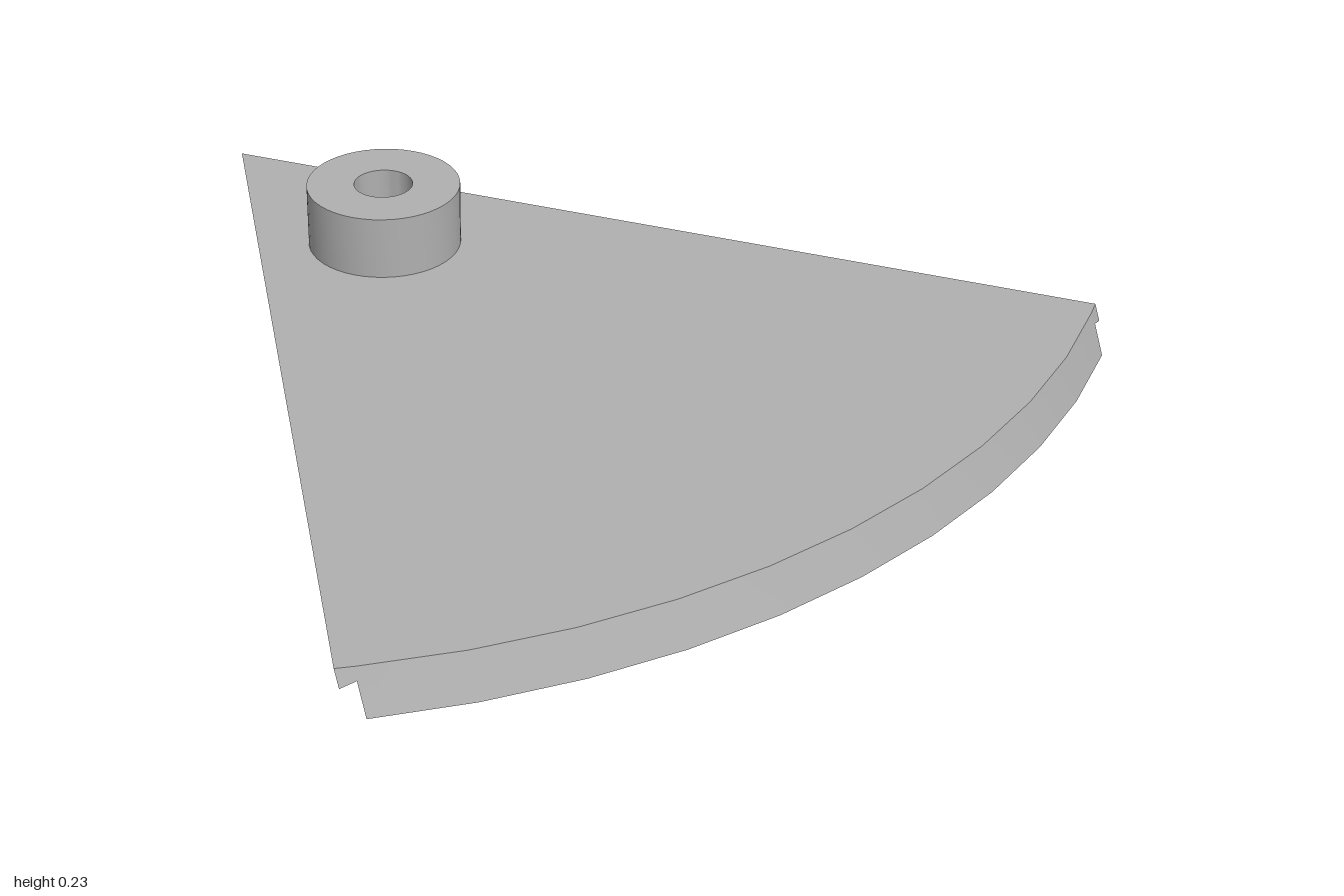
import * as THREE from 'three';
import { toCreasedNormals } from 'three/addons/utils/BufferGeometryUtils.js';

const AX = -1, AZ = -0.852;          // apex of the 60 degree sector
const H = 0.09;                      // plate thickness
const START = 0.51;                  // rebate start, measured from the apex
const LIP = 0.055, ROOF = 0.065;     // rebate heights at the outer and inner edge
const IN_TOP = 0.038, IN_BOT = 0.05; // rebate insets at its roof and at the base
const SEG = 10, SPAN = Math.PI / 3;

const radius = y => 2 - 0.034 * y / H;         // rim flares toward the base
const slope = y => 0.017 * (1 - y / H);        // straight sides lean inward below
const along = (i, y) => Math.sqrt(radius(y) ** 2 - i * i);

// point on a straight side: u along the edge, i inset from it
function point(side, u, i, y) {
  if (side === 0) return [AX + u, y, AZ + i];
  const c = Math.cos(SPAN), s = Math.sin(SPAN);
  return [AX + u * c + i * s, y, AZ + u * s - i * c];
}

// row of rim points between the two inset lines at height y
function rimRow(i, y) {
  const r = radius(y), a = Math.asin(i / r);
  return Array.from({ length: SEG + 1 }, (_, k) => {
    const t = a + (SPAN - 2 * a) * k / SEG;
    return [AX + r * Math.cos(t), y, AZ + r * Math.sin(t)];
  });
}

function flatMesh(name, triangles, material) {
  const g = new THREE.BufferGeometry();
  g.setAttribute('position', new THREE.Float32BufferAttribute(triangles.flat(2), 3));
  g.computeVertexNormals();
  const mesh = new THREE.Mesh(g, material);
  mesh.name = name;
  return mesh;
}

// fan of triangles from a centre over an open or closed row
const fan = (c, row) => row.slice(1).map((p, k) => [c, row[k], p]);

// straight side with its undercut rebate
function sideTriangles(side) {
  const P = (u, i, y) => point(side, u, i, y);
  const edge = y => P(START, slope(y), y);
  const rim = (i, y) => P(along(i, y), i, y);
  const apex = y => P(slope(y) * Math.sqrt(3), slope(y), y);
  const quads = [
    [apex(0), apex(H), edge(H), edge(0)],                                   // full-height wall
    [edge(LIP), edge(H), rim(0, H), rim(slope(LIP), LIP)],                  // lip
    [edge(LIP), rim(slope(LIP), LIP), rim(IN_TOP, ROOF), P(START, IN_TOP, ROOF)], // rebate roof
    [P(START, IN_BOT, 0), P(START, IN_TOP, ROOF), rim(IN_TOP, ROOF), rim(IN_BOT, 0)], // rebate wall
    [edge(0), edge(LIP), P(START, IN_TOP, ROOF), P(START, IN_BOT, 0)],      // rebate end
    [rim(slope(LIP), LIP), rim(0, H), rim(IN_TOP, H), rim(IN_TOP, ROOF)],   // lip end at the rim
  ];
  return quads.flatMap(([a, b, c, d]) => side === 0
    ? [[a, b, c], [a, c, d]]
    : [[a, c, b], [a, d, c]]);
}

export function createModel() {
  const group = new THREE.Group();
  group.name = 'sectorPlate';
  const grey = new THREE.MeshStandardMaterial({ color: 0xb0b0b0 });
  grey.name = 'grey';

  // top face
  const topRow = [point(0, along(0, H), 0, H), ...rimRow(IN_TOP, H), point(1, along(0, H), 0, H)];
  group.add(flatMesh('topFace', fan(point(0, 0, 0, H), topRow.reverse()), grey));

  // base, narrowed by the rebates
  const a = slope(0);
  const tip = point(0, a * Math.sqrt(3), a, 0);
  const loop = [
    tip, point(0, START, a, 0), point(0, START, IN_BOT, 0),
    ...rimRow(IN_BOT, 0),
    point(1, START, IN_BOT, 0), point(1, START, a, 0), tip,
  ];
  group.add(flatMesh('baseFace', fan(point(0, 0.48, 0.277, 0), loop), grey));

  // two mirrored straight sides
  ['backSide', 'slantedSide'].forEach((name, s) =>
    group.add(flatMesh(name, sideTriangles(s), grey)));

  // smooth curved rim
  const rows = [rimRow(IN_BOT, 0), rimRow(IN_TOP, ROOF), rimRow(IN_TOP, H)];
  const n = SEG + 1, index = [];
  for (let r = 0; r < 2; r++) {
    for (let k = 0; k < SEG; k++) {
      const p = r * n + k, q = p + n;
      index.push(p, q, q + 1, p, q + 1, p + 1);
    }
  }
  const rimGeo = new THREE.BufferGeometry();
  rimGeo.setAttribute('position', new THREE.Float32BufferAttribute(rows.flat(2), 3));
  rimGeo.setIndex(index);
  rimGeo.computeVertexNormals();
  const rim = new THREE.Mesh(rimGeo, grey);
  rim.name = 'curvedRim';
  group.add(rim);

  // round boss with a blind hole
  const profile = [[0.165, H], [0.165, 0.228], [0.063, 0.228], [0.063, 0.092], [0, 0.092]]
    .map(([x, y]) => new THREE.Vector2(x, y));
  const boss = new THREE.Mesh(toCreasedNormals(new THREE.LatheGeometry(profile, 48), 0.6), grey);
  boss.name = 'boss';
  boss.position.set(-0.53, 0, -0.585);
  group.add(boss);

  return group;
}
